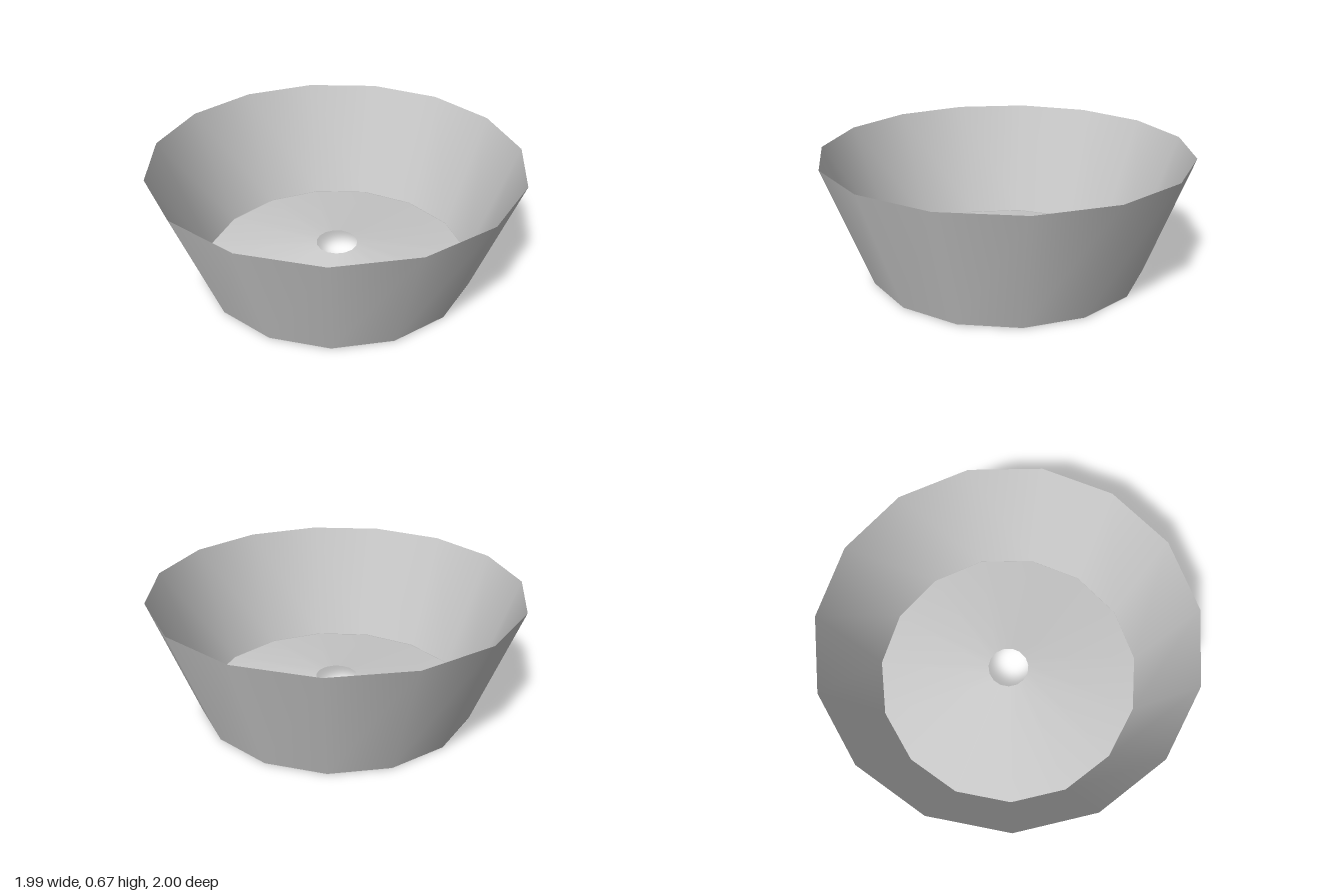
import * as THREE from 'three';

const HEIGHT = 0.672;
const GAP = 0.003; // hairline gap between floor and wall
const TOP_RADIUS = 1.006;
const BASE_RADIUS = 0.771;
const HOLE_RADIUS = 0.118;
const HOLE_HEIGHT = 0.11;

const material = new THREE.MeshStandardMaterial({ color: 0xcccccc, side: THREE.DoubleSide });

// Open 15-sided cone band from height y0 to y1, with a corner on +x
function band(name, topRadius, bottomRadius, y0, y1) {
  const geometry = new THREE.CylinderGeometry(topRadius, bottomRadius, y1 - y0, 15, 1, true, Math.PI / 2);
  const mesh = new THREE.Mesh(geometry, material);
  mesh.name = name;
  mesh.position.y = (y0 + y1) / 2;
  return mesh;
}

export function createModel() {
  const model = new THREE.Group();
  model.name = 'bowl';

  // Thin flared wall
  model.add(band('wall', TOP_RADIUS, BASE_RADIUS, GAP, HEIGHT));

  // Floor rising gently to the rim of the central hole
  model.add(band('floor', HOLE_RADIUS, BASE_RADIUS, 0, HOLE_HEIGHT));

  // An odd number of sides shifts the axis slightly off the middle
  model.position.x = -0.011;
  return model;
}
